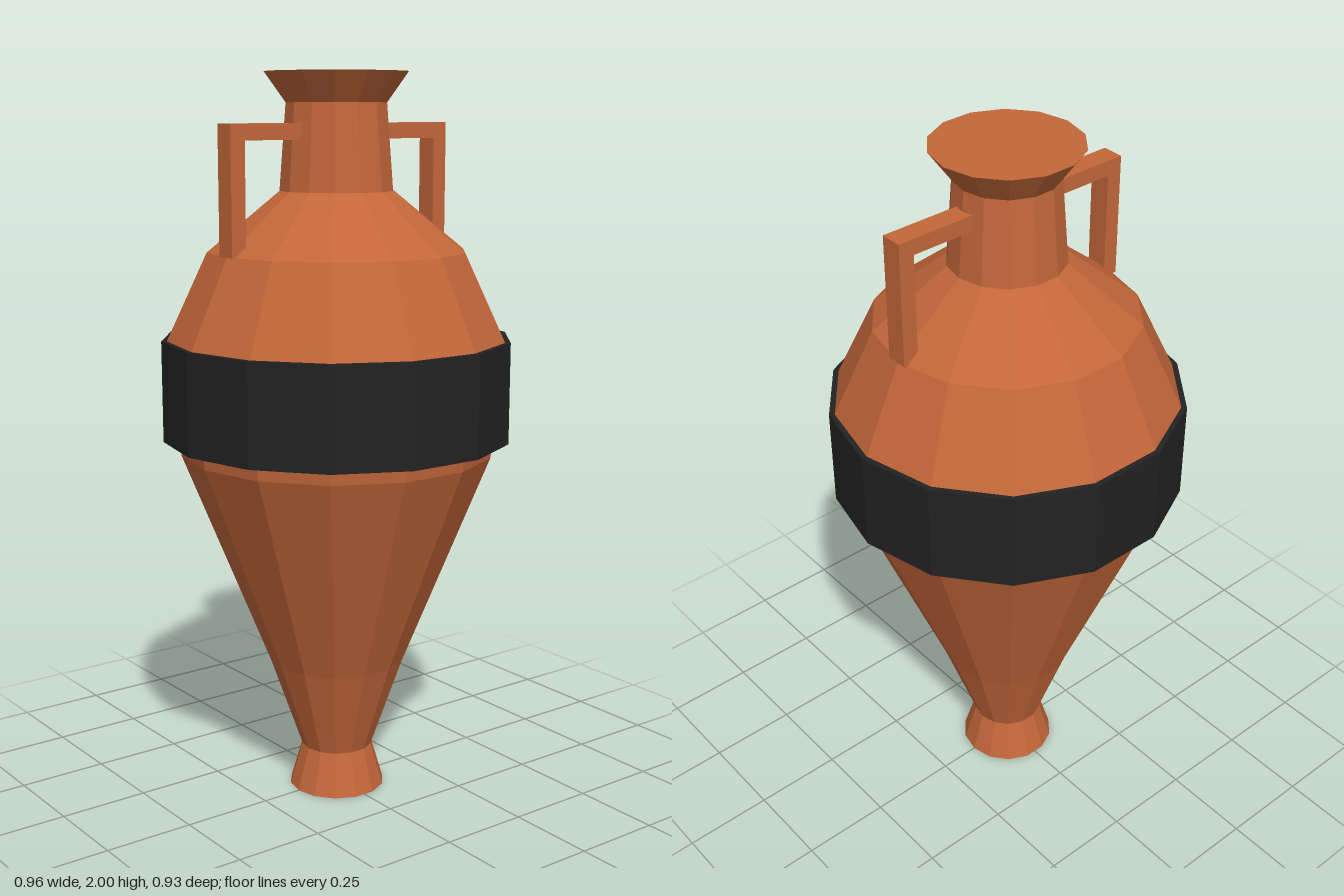
import * as THREE from 'three';

const SIDES = 14;

export function createModel() {
  const amphora = new THREE.Group();
  amphora.name = 'amphora';

  const clay = new THREE.MeshStandardMaterial({ color: 0xc4673a, flatShading: true });
  clay.name = 'terracotta';
  const black = new THREE.MeshStandardMaterial({ color: 0x222222, flatShading: true });
  black.name = 'black glaze';

  // Faceted turned part from [radius, y] points, bottom to top, with a corner on the x axis
  function turned(name, profile, material) {
    const points = profile.map(([r, y]) => new THREE.Vector2(r, y));
    const mesh = new THREE.Mesh(new THREE.LatheGeometry(points, SIDES, Math.PI / 2), material);
    mesh.name = name;
    amphora.add(mesh);
  }

  turned('foot', [[0, 0], [0.135, 0], [0.1, 0.12]], clay);
  turned('body', [
    [0.1, 0.12], [0.19, 0.38], [0.43, 0.98], [0.465, 1.27], [0.463, 1.295], [0.352, 1.53], [0.155, 1.69],
  ], clay);
  turned('neck', [[0.155, 1.69], [0.137, 1.92]], clay);
  turned('lip', [[0.137, 1.92], [0.195, 2], [0, 2]], clay);

  // Raised band around the belly, closed above and below
  turned('band', [[0.42, 1.02], [0.478, 1.02], [0.478, 1.295], [0.45, 1.295]], black);

  // Square handles: an arm out from the neck and a post down to the shoulder
  const outline = new THREE.Shape(
    [[0.12, 1.825], [0.312, 1.825], [0.312, 1.53], [0.355, 1.53], [0.355, 1.867], [0.12, 1.867]]
      .map(([x, y]) => new THREE.Vector2(x, y)),
  );
  const handleGeometry = new THREE.ExtrudeGeometry(outline, { depth: 0.06, bevelEnabled: false });
  handleGeometry.translate(0, 0, -0.03);
  for (const [name, turn] of [['leftHandle', 0], ['rightHandle', Math.PI]]) {
    const handle = new THREE.Mesh(handleGeometry, clay);
    handle.name = name;
    handle.rotation.y = turn;
    amphora.add(handle);
  }

  return amphora;
}
